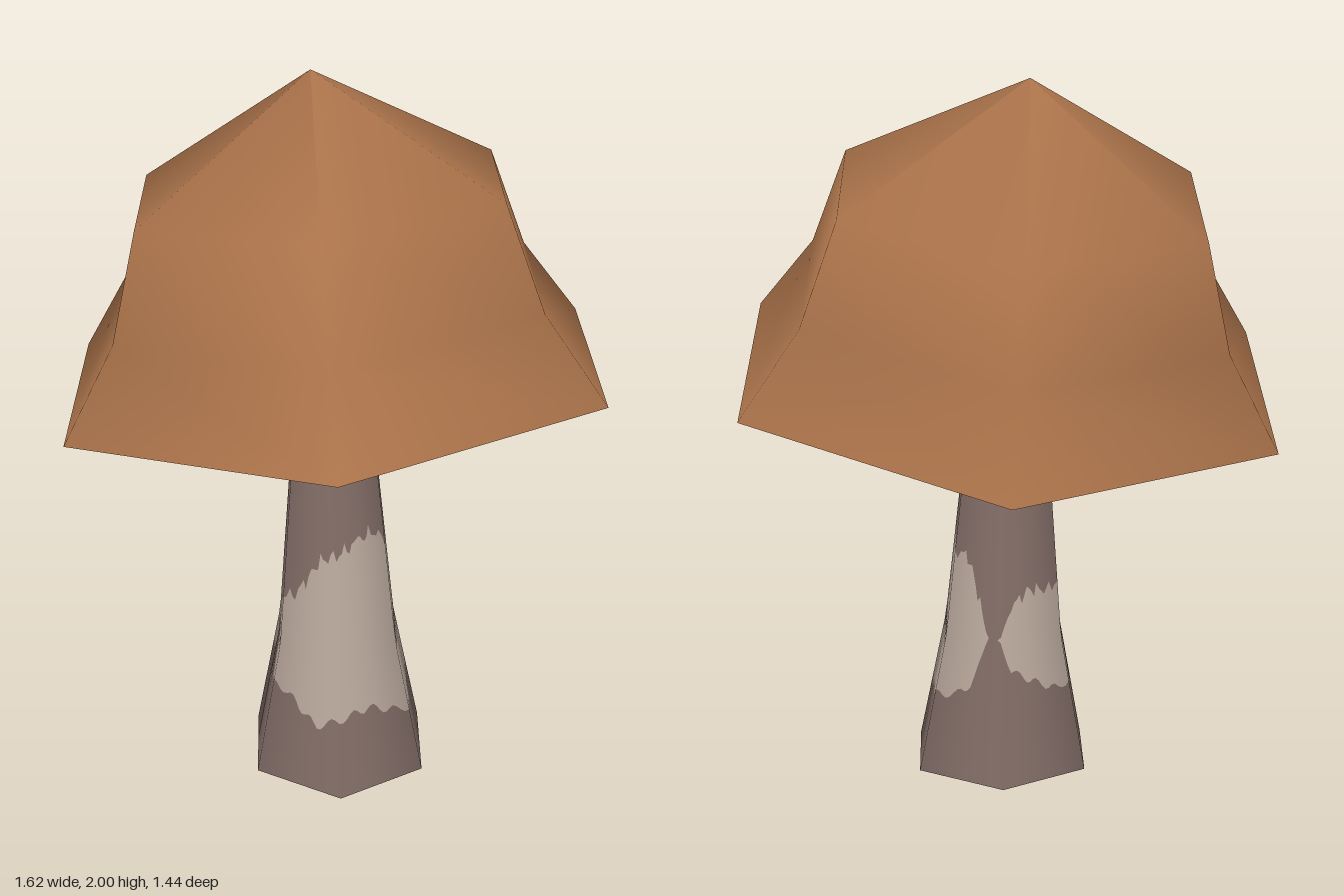
import * as THREE from 'three';

const DEG = Math.PI / 180;
const TWIST = 34; // direction of one corner of the hexagons, degrees from +z

const paint = (name, color) => {
  const m = new THREE.MeshStandardMaterial({ color, side: THREE.DoubleSide });
  m.name = name;
  return m;
};

// Distance to a unit hexagon's edge at an angle
function hexRadius(deg) {
  const t = ((((deg - TWIST) % 60) + 60) % 60) - 30;
  return Math.cos(30 * DEG) / Math.cos(t * DEG);
}

// Stem cross-sections: y, centre x, centre z, radius
const STEM = [
  [0, -0.03, 0.093, 0.272],
  [0.4, -0.029, 0.081, 0.188],
  [1.09, -0.008, 0.01, 0.119],
];

function stemPoint(deg, y) {
  const i = y < 0.4 ? 0 : 1;
  const t = (y - STEM[i][0]) / (STEM[i + 1][0] - STEM[i][0]);
  const [cx, cz, r] = [1, 2, 3].map((k) => THREE.MathUtils.lerp(STEM[i][k], STEM[i + 1][k], t));
  const d = r * hexRadius(deg);
  return [cx + d * Math.sin(deg * DEG), y, cz + d * Math.cos(deg * DEG)];
}

// Pale bark patch limits: angle, lower y, upper y
const PATCH = [
  [0, 0.24, 0.73], [20, 0.21, 0.75], [45, 0.19, 0.69], [65, 0.22, 0.69],
  [90, 0.23, 0.67], [110, 0.24, 0.65], [125, 0.28, 0.54], [138, 0.42, 0.42],
  [150, 0.42, 0.42], [160, 0.33, 0.52], [180, 0.29, 0.56], [205, 0.25, 0.55],
  [225, 0.3, 0.6], [238, 0.33, 0.54], [243, 0.42, 0.42], [254, 0.42, 0.42],
  [265, 0.29, 0.54], [285, 0.27, 0.56], [315, 0.19, 0.68], [335, 0.23, 0.71],
  [360, 0.24, 0.73],
];

function patchLimits(deg) {
  const a = ((deg % 360) + 360) % 360;
  let i = 0;
  while (i < PATCH.length - 2 && a > PATCH[i + 1][0]) i++;
  const [p, q] = [PATCH[i], PATCH[i + 1]];
  const t = (a - p[0]) / (q[0] - p[0]);
  const lo = THREE.MathUtils.lerp(p[1], q[1], t);
  const hi = THREE.MathUtils.lerp(p[2], q[2], t);
  const rough = Math.min(1, (hi - lo) * 4); // ragged edge fades in the gaps
  return [
    lo + 0.012 * rough * Math.sin(a * 0.35),
    hi + 0.016 * rough * (Math.sin(a * 0.5) + 0.6 * Math.sin(a * 0.9)),
  ];
}

// Band of stem surface between two heights that vary with angle
function stemBand(limits, rows) {
  const cols = 120;
  const pos = [], nor = [], idx = [];
  for (let c = 0; c <= cols; c++) {
    const deg = TWIST + (c * 360) / cols;
    const [lo, hi] = limits(deg);
    const n = new THREE.Vector3(Math.sin(deg * DEG), 0.14, Math.cos(deg * DEG)).normalize();
    for (let r = 0; r <= rows; r++) {
      pos.push(...stemPoint(deg, THREE.MathUtils.lerp(lo, hi, r / rows)));
      nor.push(n.x, n.y, n.z);
      if (c < cols && r < rows) {
        const a = c * (rows + 1) + r, b = a + rows + 1;
        idx.push(a, b, b + 1, a, b + 1, a + 1);
      }
    }
  }
  const g = new THREE.BufferGeometry();
  g.setAttribute('position', new THREE.Float32BufferAttribute(pos, 3));
  g.setAttribute('normal', new THREE.Float32BufferAttribute(nor, 3));
  g.setIndex(idx);
  return g;
}

const CAP_R = 0.813, SINK = 0.12;

// Point just under the shallow cone beneath the cap
function undersidePoint(deg, r) {
  const h = -SINK + (SINK * r) / (CAP_R * hexRadius(deg)) - 0.005;
  return [r * Math.sin(deg * DEG), h, r * Math.cos(deg * DEG)];
}

// Teardrop gill marks radiating from the stem
function gillMarks() {
  const pos = [], idx = [];
  const count = 15;
  const profile = [[0, 0.75], [0.3, 0.6], [0.65, 0.85], [0.88, 0.75], [1, 0.3]];
  for (let k = 0; k < count; k++) {
    const deg = (k * 360) / count + 3 * Math.sin(k * 2.3);
    const len = 0.36 + 0.06 * Math.sin(k * 1.9 + 1);
    const half = 8.5 + 2 * Math.sin(k * 3.1);
    const base = pos.length / 3;
    profile.forEach(([t, w], i) => {
      const r = THREE.MathUtils.lerp(0.16, len, t);
      pos.push(...undersidePoint(deg - half * w, r), ...undersidePoint(deg + half * w, r));
      if (i) {
        const a = base + 2 * (i - 1);
        idx.push(a, a + 1, a + 3, a, a + 3, a + 2);
      }
    });
  }
  // Faces look downwards
  for (let i = 0; i < idx.length; i += 3) [idx[i + 1], idx[i + 2]] = [idx[i + 2], idx[i + 1]];
  const g = new THREE.BufferGeometry();
  g.setAttribute('position', new THREE.Float32BufferAttribute(pos, 3));
  g.setIndex(idx);
  g.computeVertexNormals();
  // Make sure the winding agrees with a downward normal
  if (g.attributes.normal.getY(0) > 0) {
    g.setIndex(idx.reverse());
    g.computeVertexNormals();
  }
  return g;
}

export function createModel() {
  const model = new THREE.Group();
  model.name = 'mushroom';
  const add = (parent, name, geometry, material) => {
    const mesh = new THREE.Mesh(geometry, material);
    mesh.name = name;
    parent.add(mesh);
  };
  const capBrown = paint('cap brown', 0xa87149);
  const stemBrown = paint('stem brown', 0x806b65);
  const paleBark = paint('pale bark', 0xb9a89c);
  const gillDark = paint('gill dark', 0x705f5c);
  const gillPale = paint('gill pale', 0x9a8f88);

  // Stem, open at the base
  const stem = new THREE.Group();
  stem.name = 'stem';
  add(stem, 'stemBase', stemBand((a) => [0, patchLimits(a)[0]], 2), stemBrown);
  add(stem, 'stemPatch', stemBand(patchLimits, 8), paleBark);
  add(stem, 'stemNeck', stemBand((a) => [patchLimits(a)[1], 1.09], 3), stemBrown);
  model.add(stem);

  // Six-sided cap, tilted back
  const cap = new THREE.Group();
  cap.name = 'cap';
  cap.position.y = 1.165;
  cap.rotation.x = -0.158;
  const lathe = (pts) =>
    new THREE.LatheGeometry(pts.map(([r, y]) => new THREE.Vector2(r, y)), 6, TWIST * DEG);
  add(cap, 'capTop', lathe([[CAP_R, 0], [0.645, 0.236], [0.551, 0.523], [0, 0.846]]), capBrown);
  add(cap, 'capUnderside', lathe([[0, -SINK], [CAP_R, 0]]), gillDark);
  add(cap, 'gillMarks', gillMarks(), gillPale);
  model.add(cap);

  return model;
}
